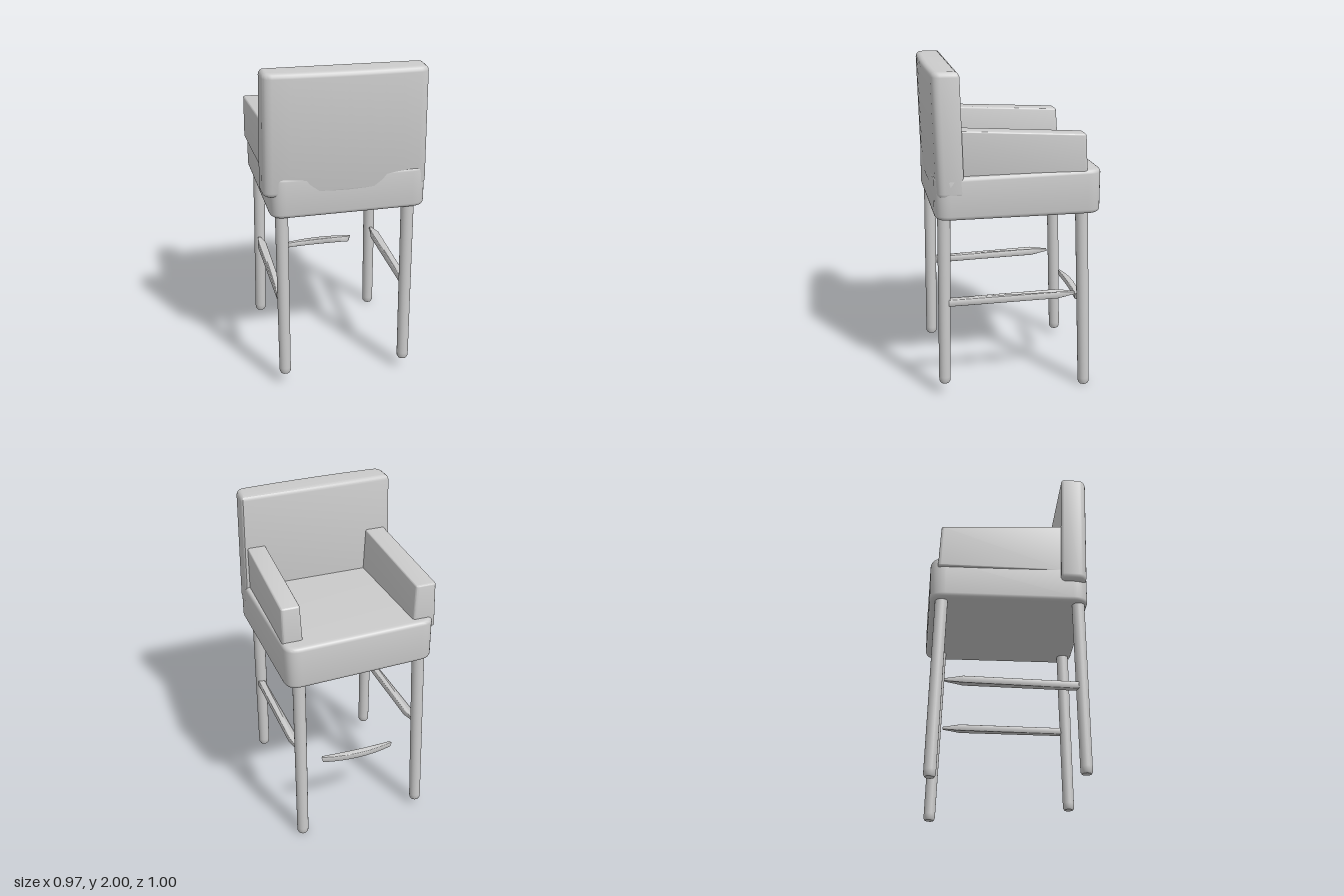
import * as THREE from 'three';
import { toCreasedNormals } from 'three/addons/utils/BufferGeometryUtils.js';

const material = new THREE.MeshStandardMaterial({ color: 0xcccccc });

function addMesh(group, name, geometry) {
  const mesh = new THREE.Mesh(geometry, material);
  mesh.name = name;
  group.add(mesh);
}

// Plan outline (x, z) with rounded corners
function roundedPlan(x0, x1, z0, z1, r) {
  const s = new THREE.Shape();
  s.moveTo(x0 + r, z0);
  s.lineTo(x1 - r, z0);
  s.quadraticCurveTo(x1, z0, x1, z0 + r);
  s.lineTo(x1, z1 - r);
  s.quadraticCurveTo(x1, z1, x1 - r, z1);
  s.lineTo(x0 + r, z1);
  s.quadraticCurveTo(x0, z1, x0, z1 - r);
  s.lineTo(x0, z0 + r);
  s.quadraticCurveTo(x0, z0, x0 + r, z0);
  return s;
}

// Upholstered block: plan outline raised from y0 to y1, then bent by a rule
function slab(plan, y0, y1, bevel, warp) {
  const geo = new THREE.ExtrudeGeometry(plan, {
    depth: y1 - y0 - 2 * bevel, bevelThickness: bevel, bevelSize: bevel,
    bevelOffset: -bevel, bevelSegments: 4, curveSegments: 8,
  });
  geo.rotateX(Math.PI / 2).translate(0, y1 - bevel, 0);
  const p = geo.attributes.position;
  const v = new THREE.Vector3();
  for (let i = 0; i < p.count; i++) {
    v.fromBufferAttribute(p, i);
    if (warp) warp(v);
    p.setXYZ(i, v.x, v.y, v.z);
  }
  return toCreasedNormals(geo, 0.6);
}

// Round leg with softened foot, from foot point to top point
function leg(foot, top, r) {
  const a = new THREE.Vector3(...foot), b = new THREE.Vector3(...top);
  const dir = b.clone().sub(a), len = dir.length();
  const profile = [[0, 0], [r * 0.75, 0], [r * 0.93, 0.012], [r * 0.96, 0.04], [r * 1.04, len], [0, len]]
    .map(([x, y]) => new THREE.Vector2(x, y));
  const geo = new THREE.LatheGeometry(profile, 20);
  geo.applyQuaternion(new THREE.Quaternion().setFromUnitVectors(new THREE.Vector3(0, 1, 0), dir.normalize()));
  geo.translate(a.x, a.y, a.z);
  return toCreasedNormals(geo, 0.7);
}

export function createModel() {
  const group = new THREE.Group();
  group.name = 'barStool';

  // Seat cushion: nose slightly skewed, top a little higher at the nose
  addMesh(group, 'seat', slab(roundedPlan(-0.445, 0.485, -0.485, 0.485, 0.09), 1.14, 1.4, 0.025, (v) => {
    if (v.z < 0) v.z -= 0.035 * v.x;
    if (v.y > 1.3) v.y -= 0.015 * v.z;
  }));

  // Backrest: bowed rear face, wider at the bottom, leaning slightly
  const plan = new THREE.Shape();
  plan.moveTo(-0.47, 0.325);
  plan.lineTo(0.475, 0.325);
  plan.quadraticCurveTo(0.483, 0.33, 0.485, 0.345);
  plan.lineTo(0.483, 0.435);
  plan.quadraticCurveTo(0.48, 0.478, 0.43, 0.483);
  plan.quadraticCurveTo(0, 0.505, -0.43, 0.483);
  plan.quadraticCurveTo(-0.478, 0.475, -0.483, 0.435);
  plan.lineTo(-0.485, 0.345);
  plan.quadraticCurveTo(-0.483, 0.33, -0.47, 0.325);
  addMesh(group, 'backrest', slab(plan, 1.27, 1.995, 0.03, (v) => {
    const t = (v.y - 1.27) / 0.725;
    v.x *= 1.005 - 0.025 * t;
    v.z += 0.018 * t - 0.008;
    if (t > 0.5) v.y -= 0.01 * v.x;
  }));

  // Armrests: tops fall towards the nose, sides splay
  const arms = [
    ['rightArm', -0.46, -0.335, -0.42, 0.015, -0.02],
    ['leftArm', 0.365, 0.478, -0.405, -0.022, 0.012],
  ];
  for (const [name, x0, x1, z0, skew, splay] of arms) {
    addMesh(group, name, slab(roundedPlan(x0, x1, z0, 0.36, 0.02), 1.34, 1.64, 0.01, (v) => {
      const t = (v.y - 1.34) / 0.3;
      const inner = Math.abs(v.x) < Math.abs(x0 + x1) / 2;
      v.x += skew * (v.z - z0) / 0.74;
      if (inner) v.x -= splay * (1 - t);
      if (v.y > 1.5) v.y += 0.055 * v.z;
      if (v.z < -0.2) v.z += 0.015 * (t - 0.5);
    }));
  }

  // Legs
  addMesh(group, 'rightRearLeg', leg([-0.375, 0.08, 0.44], [-0.375, 1.16, 0.427], 0.037));
  addMesh(group, 'leftRearLeg', leg([0.385, 0.08, 0.44], [0.385, 1.16, 0.427], 0.037));
  addMesh(group, 'rightFrontLeg', leg([-0.388, 0.04, -0.435], [-0.372, 1.16, -0.4], 0.037));
  addMesh(group, 'leftFrontLeg', leg([0.396, 0, -0.438], [0.385, 1.16, -0.4], 0.037));

  // Side rails: flat blades tapering to a point at the nose end
  for (const [name, x, lift] of [['rightRail', -0.39, 0.01], ['leftRail', 0.39, 0]]) {
    const blade = new THREE.Shape([
      [x - 0.022, 0.41], [x - 0.027, -0.26], [x - 0.008, -0.37],
      [x + 0.008, -0.37], [x + 0.027, -0.26], [x + 0.022, 0.41],
    ].map(([a, b]) => new THREE.Vector2(a, b)));
    addMesh(group, name, slab(blade, 0.583, 0.626, 0.006, (v) => {
      const t = (0.41 - v.z) / 0.78;
      if (v.z < -0.3) v.y = 0.603 + (v.y - 0.603) * 0.4;
      v.y += (0.008 + lift) * t;
    }));
  }

  // Footrest: short bowed bar between the front legs
  const bar = new THREE.Shape();
  bar.moveTo(-0.21, -0.425);
  bar.quadraticCurveTo(0.02, -0.49, 0.26, -0.425);
  bar.lineTo(0.25, -0.41);
  bar.quadraticCurveTo(0.02, -0.425, -0.2, -0.41);
  bar.closePath();
  addMesh(group, 'footrest', slab(bar, 0.505, 0.542, 0.004, (v) => {
    if (v.y > 0.52) v.y += 0.016 * v.x;
    else v.x *= 0.96;
  }));

  return group;
}
